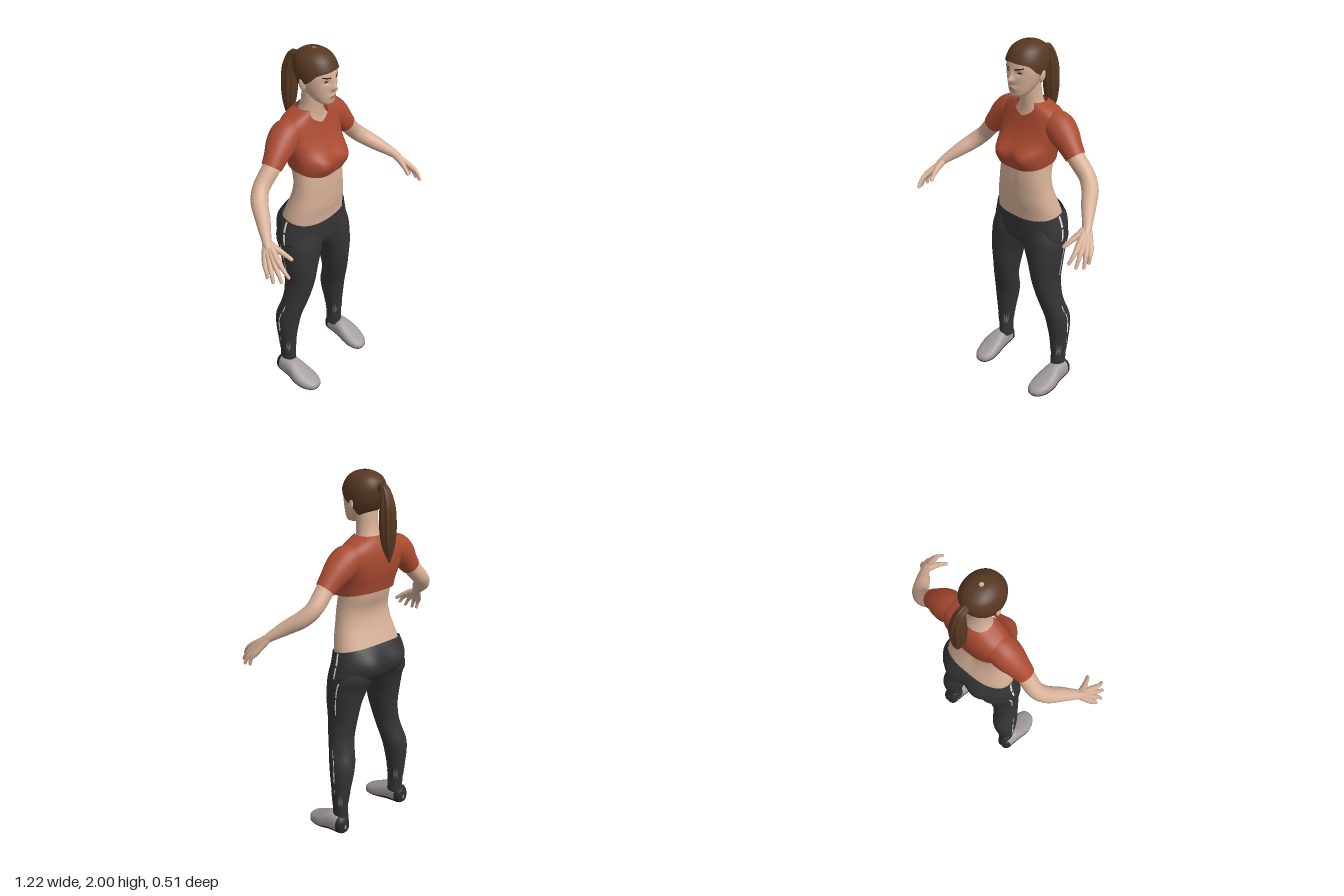
import * as THREE from 'three';
import { mergeVertices } from 'three/addons/utils/BufferGeometryUtils.js';

const PI = Math.PI;
const mat = (name, color, side = THREE.DoubleSide) => {
  const m = new THREE.MeshStandardMaterial({ color, side });
  m.name = name;
  return m;
};

// Smooth interpolation through rows [key, ...values]; returns the values at key t
function rowsAt(rows, t) {
  const n = rows.length;
  t = Math.min(Math.max(t, rows[0][0]), rows[n - 1][0]);
  let i = 0;
  while (i < n - 2 && t > rows[i + 1][0]) i++;
  const A = rows[i], B = rows[i + 1], P = rows[Math.max(i - 1, 0)], Q = rows[Math.min(i + 2, n - 1)];
  const h = B[0] - A[0], u = (t - A[0]) / h, u2 = u * u, u3 = u2 * u;
  return A.slice(1).map((a, k) => {
    const b = B[k + 1];
    const ma = (b - P[k + 1]) / (B[0] - P[0]) * h, mb = (Q[k + 1] - a) / (Q[0] - A[0]) * h;
    return (2 * u3 - 3 * u2 + 1) * a + (u3 - 2 * u2 + u) * ma + (3 * u2 - 2 * u3) * b + (u3 - u2) * mb;
  });
}

// Body surface from rings [y, centre x, half width, front z, back z]; angle 0 is the front
function surface(rings, power = 2, shape = () => {}) {
  return (a, y, off = 0) => {
    const [cx, w, f, b] = rowsAt(rings, y);
    const s = Math.sin(a), c = Math.cos(a), e = 2 / power;
    const p = new THREE.Vector3(
      cx + w * Math.sign(s) * Math.abs(s) ** e, y,
      (f + b) / 2 + (f - b) / 2 * Math.sign(c) * Math.abs(c) ** e);
    shape(p, c);
    p.x += s * off;
    p.z += c * off;
    return p;
  };
}

// Mesh of a surface between two angles and two heights (numbers or functions of the angle)
function patch(f, a0, a1, lo, hi, { off = 0, na = 48, ny = 32, ease = (t) => t, lift = 0 } = {}) {
  const val = (v, a) => (typeof v === 'function' ? v(a) : v);
  const pos = [], idx = [];
  for (let i = 0; i <= na; i++) {
    const a = a0 + (a1 - a0) * i / na;
    for (let j = 0; j <= ny; j++) {
      const t = ease(j / ny), l = val(lo, a);
      const p = f(a, l + (val(hi, a) - l) * t, off);
      pos.push(p.x, p.y + lift * t, p.z);
      if (i < na && j < ny) {
        const k = i * (ny + 1) + j, m = k + ny + 1;
        idx.push(k, m, m + 1, k, m + 1, k + 1);
      }
    }
  }
  let g = new THREE.BufferGeometry();
  g.setAttribute('position', new THREE.Float32BufferAttribute(pos, 3));
  g.setIndex(idx);
  g = mergeVertices(g, 1e-5);
  g.computeVertexNormals();
  return g;
}

// Tube with changing radius through points [x, y, z, r]; side mirrors it
function limb(pts, side = 1, sides = 20, ridge = 0) {
  const curve = new THREE.CatmullRomCurve3(pts.map((p) => new THREE.Vector3(p[0] * side, p[1], p[2])));
  const seg = pts.length * 7, g = new THREE.TubeGeometry(curve, seg, 1, sides, false);
  const radii = pts.map((p, i) => [i, p[3]]), pos = g.attributes.position, v = new THREE.Vector3();
  for (let k = 0; k < pos.count; k++) {
    const u = Math.floor(k / (sides + 1)) / seg, c = curve.getPointAt(u);
    const r = rowsAt(radii, curve.getUtoTmapping(u) * (pts.length - 1))[0];
    const wave = 1 + ridge * Math.cos((k % (sides + 1)) / sides * PI * 2 * 9);
    v.fromBufferAttribute(pos, k).sub(c).multiplyScalar(Math.max(r, 0.001) * wave).add(c);
    pos.setXYZ(k, v.x, v.y, v.z);
  }
  if (ridge) g.computeVertexNormals();
  return g;
}

const bell = (x, y, sx, sy) => Math.exp(-(x * x) / (sx * sx) - (y * y) / (sy * sy));

export function createModel() {
  const model = new THREE.Group();
  const skin = mat('skin', 0xd6b097), hair = mat('hair', 0x573822), shirt = mat('shirt', 0xa94a30);
  const pants = mat('leggings', 0x343435), shoe = mat('shoe grey', 0xa19b9a), sole = mat('sole black', 0x29292b);
  const white = mat('stripe white', 0xe2e2e2), sock = mat('ankle grey', 0x66666b);
  const dark = mat('eye brown', 0x35261f), lip = mat('lip', 0xb57f6d);
  const add = (name, geo, m) => {
    const mesh = new THREE.Mesh(geo, m);
    mesh.name = name;
    model.add(mesh);
    return mesh;
  };

  // Head with nose, eye sockets and lips pushed into shape
  const head = surface([
    [1.732, 0, 0.004, 0.045, 0.035], [1.738, 0, 0.03, 0.058, 0], [1.75, 0, 0.048, 0.063, -0.03],
    [1.775, 0, 0.064, 0.065, -0.065], [1.81, 0, 0.078, 0.067, -0.105], [1.85, 0, 0.088, 0.069, -0.132],
    [1.89, 0, 0.091, 0.069, -0.146], [1.925, 0, 0.086, 0.059, -0.147], [1.958, 0, 0.07, 0.037, -0.132],
    [1.978, 0, 0.046, 0.008, -0.105], [1.988, 0, 0.022, -0.022, -0.074], [1.991, 0, 0.001, -0.046, -0.05],
  ], 2.15, (p, c) => {
    if (c <= 0) return;
    p.z += 0.025 * bell(p.x, p.y - 1.826, 0.013, 0.015) + 0.012 * bell(p.x, p.y - 1.85, 0.01, 0.025);
    p.z += 0.009 * bell(p.x, p.y - 1.782, 0.024, 0.014);
    p.z -= 0.008 * bell(Math.abs(p.x) - 0.036, p.y - 1.862, 0.018, 0.012);
  });
  const dome = (t) => Math.sin(t * PI / 2);
  add('head', patch(head, -PI, PI, 1.732, 1.991, { na: 96, ny: 64 }), skin);
  const hairline = [[0, 1.915], [0.9, 1.9], [1.3, 1.865], [1.75, 1.835], [2.2, 1.795], [PI, 1.77]];
  add('hair', patch(head, -PI, PI, (a) => rowsAt(hairline, Math.abs(a))[0], 1.991,
    { off: 0.009, na: 64, ny: 40, ease: dome, lift: 0.009 }), hair);
  add('ponytail', limb([[0, 1.925, -0.14, 0.022], [0, 1.93, -0.178, 0.022], [0, 1.86, -0.203, 0.036],
    [0, 1.75, -0.21, 0.041], [0, 1.65, -0.215, 0.03], [0, 1.57, -0.224, 0.003]], 1, 54, 0.07), hair);
  add('lips', patch(head, -0.28, 0.28, (a) => 1.774 + 0.02 * a * a, (a) => 1.79 - 0.12 * a * a,
    { off: 0.0015, na: 12, ny: 4 }), lip);

  // Neck and bare waist
  const neck = surface([[1.54, 0, 0.13, 0, -0.14], [1.6, 0, 0.12, -0.004, -0.15], [1.64, 0, 0.088, -0.012, -0.145],
    [1.68, 0, 0.066, -0.012, -0.132], [1.73, 0, 0.058, -0.008, -0.118], [1.82, 0, 0.058, 0, -0.11]]);
  add('neck', patch(neck, -PI, PI, 1.54, 1.82), skin);
  const waist = surface([[1.04, 0, 0.2, 0.045, -0.185], [1.1, 0, 0.195, 0.051, -0.172], [1.16, 0, 0.182, 0.06, -0.15],
    [1.23, 0, 0.165, 0.063, -0.127], [1.3, 0, 0.154, 0.063, -0.12], [1.38, 0, 0.147, 0.055, -0.142],
    [1.46, 0, 0.145, 0.03, -0.155]], 2.3, (p, c) => {
    if (c > 0) p.z -= 0.005 * bell(p.x, p.y - 1.17, 0.012, 0.014) + 0.003 * bell(p.x, p.y - 1.28, 0.015, 0.06);
    else p.z += 0.006 * bell(p.x, p.y - 1.25, 0.025, 0.1);
  });
  add('waist', patch(waist, -PI, PI, 1.04, 1.46, { na: 72, ny: 40 }), skin);

  // Cropped shirt with V neck
  const chest = surface([[1.35, 0, 0.152, 0.078, -0.152], [1.4, 0, 0.16, 0.084, -0.162], [1.45, 0, 0.166, 0.08, -0.173],
    [1.5, 0, 0.176, 0.052, -0.184], [1.55, 0, 0.19, 0.026, -0.189], [1.6, 0, 0.193, 0.008, -0.187],
    [1.64, 0, 0.175, -0.004, -0.178], [1.67, 0, 0.13, -0.012, -0.163], [1.692, 0, 0.076, -0.02, -0.143]],
  2.4, (p, c) => {
    if (c > 0) p.z += 0.028 * bell(Math.abs(p.x) - 0.08, p.y - 1.425, 0.06, 0.05);
  });
  add('shirt', patch(chest, -PI, PI, (a) => 1.385 - 0.025 * Math.cos(a),
    (a) => 1.62 + 0.072 * Math.min(1, Math.abs(a) / 0.65), { na: 96, ny: 44 }), shirt);

  // Hips of the leggings, with a curved waistband edge
  const hips = surface([[0.895, 0, 0.06, 0.0, -0.08], [0.91, 0, 0.15, 0.035, -0.125], [0.94, 0, 0.222, 0.053, -0.175],
    [1.0, 0, 0.227, 0.057, -0.198], [1.05, 0, 0.216, 0.057, -0.202], [1.1, 0, 0.203, 0.057, -0.188],
    [1.14, 0, 0.196, 0.058, -0.165]], 2.3, (p, c) => {
    if (c < 0) p.z -= 0.03 * bell(Math.abs(p.x) - 0.095, p.y - 1.015, 0.075, 0.07);
  });
  add('hips', patch(hips, -PI, PI, 0.895, (a) => 1.098 - 0.028 * Math.cos(a), { na: 80 }), pants);

  for (const s of [1, -1]) {
    const side = s > 0 ? 'left' : 'right';
    const part = (name, geo, m) => add(side + name, geo, m);

    // Face details
    const small = { off: 0.0015, na: 10, ny: 4 };
    const span = (c, h) => [s * c - h, s * c + h];
    const curve = (y, k, c) => (a) => y - k * (Math.abs(a) - c) ** 2;
    part('Eye', patch(head, ...span(0.42, 0.14), (a) => 1.859 + 0.1 * (Math.abs(a) - 0.42) ** 2, curve(1.868, 0.3, 0.42), small), dark);
    part('Brow', patch(head, ...span(0.44, 0.25), (a) => 1.874 + 0.018 * Math.abs(a), (a) => 1.882 + 0.014 * Math.abs(a), small), dark);
    const ear = part('Ear', new THREE.SphereGeometry(1, 16, 12), skin);
    ear.scale.set(0.009, 0.03, 0.017);
    ear.position.set(s * 0.094, 1.842, -0.046);
    ear.rotation.set(-0.2, s * -0.3, 0);

    // Sleeve, arm and hand
    part('Sleeve', limb([[0.1, 1.6, -0.095, 0.06], [0.165, 1.582, -0.092, 0.08], [0.215, 1.545, -0.088, 0.075],
      [0.255, 1.505, -0.083, 0.061], [0.293, 1.462, -0.08, 0.052]], s, 32), shirt);
    part('Arm', limb([[0.22, 1.54, -0.085, 0.048], [0.29, 1.465, -0.08, 0.046], [0.37, 1.38, -0.083, 0.043],
      [0.415, 1.335, -0.055, 0.043], [0.465, 1.285, 0.01, 0.037], [0.518, 1.23, 0.078, 0.025], [0.54, 1.2, 0.11, 0.02]], s, 24), skin);
    const tips = [[0.598, 1.079, 0.152], [0.602, 1.072, 0.192], [0.582, 1.08, 0.228], [0.555, 1.1, 0.25]];
    tips.forEach(([x, y, z], i) => {
      const k = i / 3, K = [0.583 - 0.03 * k, 1.142 + 0.021 * k, 0.125 + 0.06 * k];
      const mid = [(K[0] + x) / 2 + 0.005, (K[1] + y) / 2 + 0.004, (K[2] + z) / 2 + 0.004];
      part('Finger' + (i + 1), limb([[0.524 - 0.006 * k, 1.226, 0.076 + 0.012 * k, 0.016], [...K, 0.0155],
        [...mid, 0.0105], [x, y, z, 0.008], [x + 0.001, y - 0.004, z + 0.003, 0.001]], s, 10), skin);
    });
    part('Thumb', limb([[0.522, 1.222, 0.085, 0.018], [0.515, 1.2, 0.135, 0.017], [0.5, 1.175, 0.18, 0.012],
      [0.487, 1.152, 0.211, 0.009], [0.485, 1.148, 0.215, 0.001]], s, 10), skin);

    // Leg of the leggings: [y, inner x, outer x, front z, back z]
    const leg = surface([[0.11, 0.172, 0.248, -0.035, -0.128], [0.2, 0.175, 0.25, -0.035, -0.13],
      [0.3, 0.16, 0.26, -0.03, -0.143], [0.4, 0.14, 0.265, -0.018, -0.156], [0.46, 0.127, 0.262, -0.008, -0.153],
      [0.53, 0.113, 0.246, 0.012, -0.132], [0.6, 0.1, 0.232, 0.032, -0.12], [0.7, 0.077, 0.221, 0.052, -0.126],
      [0.8, 0.052, 0.228, 0.061, -0.142], [0.9, 0.008, 0.232, 0.061, -0.168], [0.95, 0.003, 0.228, 0.058, -0.192],
      [1.02, 0.02, 0.205, 0.045, -0.19]].map(([y, i, o, f, b]) => [y, s * (i + o) / 2, (o - i) / 2, f, b]), 2.1);
    part('Leg', patch(leg, -PI, PI, 0.11, 1.02, { ny: 60 }), pants);

    // Broken side stripe and ragged ankle patches
    const line = { off: 0.003, na: 2, ny: 12 };
    [[leg, 0.25, 0.74, 0.84], [leg, 0.25, 0.85, 0.94], [hips, 0, 0.955, 1.02], [hips, 0, 1.03, 1.094],
      [leg, 0.04, 0.36, 0.42], [leg, 0.12, 0.35, 0.49], [leg, 0.08, 0.5, 0.54], [leg, 0.1, 0.28, 0.31]]
      .forEach(([f, a, lo, hi]) => part('Stripe', patch(f, ...span(PI / 2 + a, f === hips ? 0.025 : 0.035), lo, hi, line), white));
    for (const a of [0.85, 2.25, -0.85, -2.25]) {
      part('AnklePatch', patch(leg, a - 0.3, a + 0.3, (t) => 0.215 + 0.012 * Math.sin(t * 17),
        (t) => 0.262 + 0.02 * Math.sin(t * 23 + a), { off: 0.002, na: 16, ny: 5 }), sock);
    }

    // Shoe, shaped along its length: [z, half width, top, bottom]
    const foot = surface([[-0.14, 0.004, 0.085, 0.065], [-0.135, 0.026, 0.11, 0.044], [-0.115, 0.041, 0.131, 0.034],
      [-0.07, 0.047, 0.138, 0.028], [-0.025, 0.053, 0.133, 0.02], [0.03, 0.063, 0.105, 0.01], [0.08, 0.061, 0.078, 0.005],
      [0.12, 0.047, 0.059, 0.008], [0.14, 0.026, 0.046, 0.014], [0.147, 0.003, 0.034, 0.026]]
      .map(([z, w, t, b]) => [z, s * (0.226 - 0.09 * Math.max(z - 0.03, 0)), w, -b, -t]), 2.4);
    const shoePart = (name, m, a0, a1, z0, z1, off) =>
      part(name, patch(foot, a0, a1, z0, z1, { off, ny: 40 }).rotateX(PI / 2), m);
    shoePart('Shoe', shoe, -PI, PI, -0.14, 0.147, 0);
    shoePart('Sole', sole, -1.15, 1.15, -0.14, 0.147, 0.004);
    shoePart('Heel', sole, -PI, PI, -0.14, -0.105, 0.003);
  }
  return model;
}
